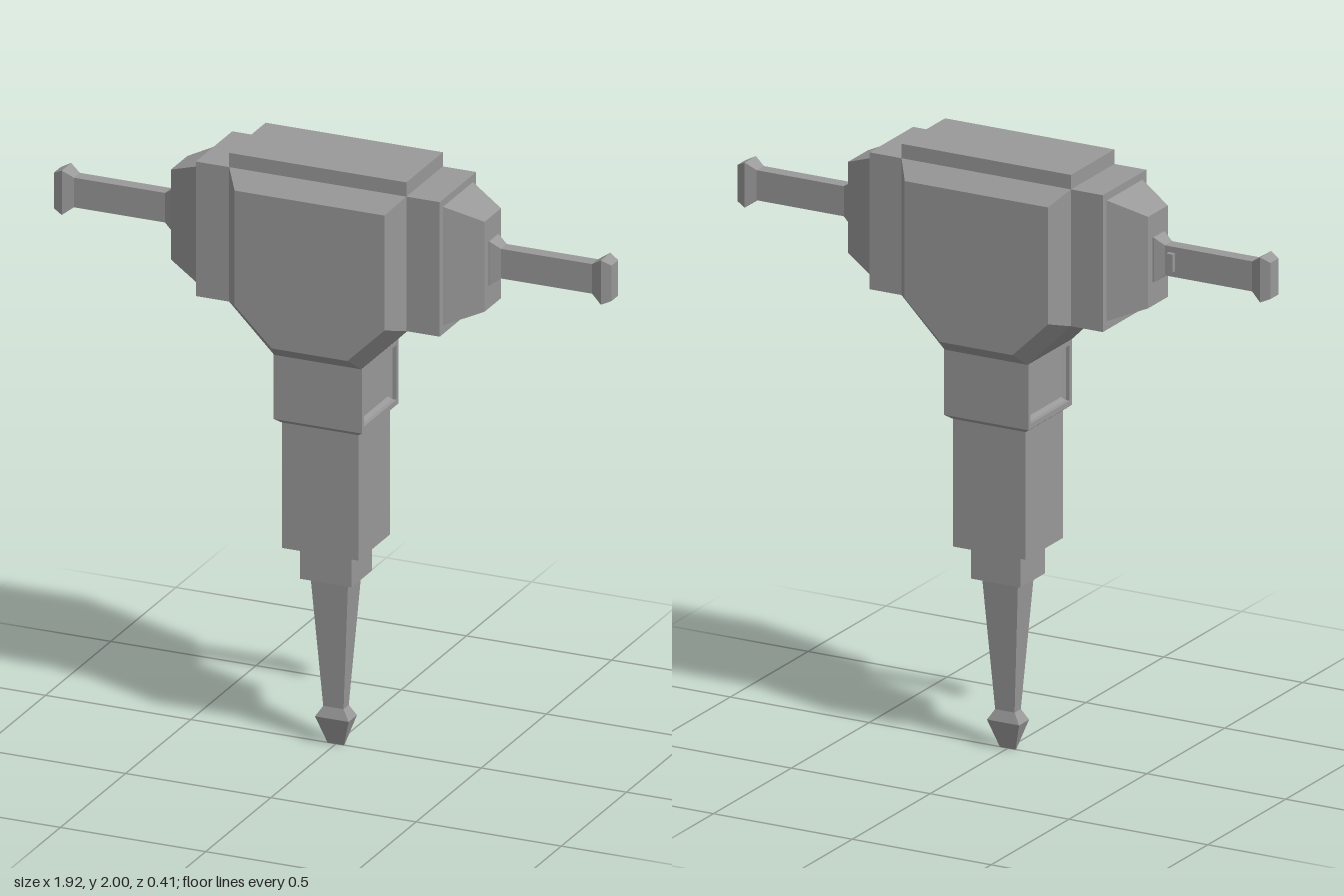
import * as THREE from 'three';

const material = new THREE.MeshStandardMaterial({ color: 0x999999, flatShading: true });

// Skin a row of convex rings (counter-clockwise seen from the far end) and cap both ends
function loft(rings) {
  const pos = [];
  const tri = (a, b, c) => pos.push(...a, ...b, ...c);
  const n = rings[0].length;
  for (let r = 0; r + 1 < rings.length; r++) {
    const a = rings[r], b = rings[r + 1];
    for (let i = 0; i < n; i++) {
      const j = (i + 1) % n;
      tri(a[i], a[j], b[j]);
      tri(a[i], b[j], b[i]);
    }
  }
  const first = rings[0], last = rings[rings.length - 1];
  for (let i = 1; i + 1 < n; i++) {
    tri(first[0], first[i + 1], first[i]);
    tri(last[0], last[i], last[i + 1]);
  }
  const g = new THREE.BufferGeometry();
  g.setAttribute('position', new THREE.Float32BufferAttribute(pos, 3));
  g.computeVertexNormals();
  return g;
}

// Rectangular sections along y: [y, half width x, half depth z]
const alongY = (sections) => loft(sections.map(([y, x, z]) =>
  [[-x, y, -z], [-x, y, z], [x, y, z], [x, y, -z]]));

// Rectangular sections along x: [x, bottom y, top y, half depth z]
const alongX = (sections) => loft(sections.map(([x, y0, y1, z]) =>
  [[x, y0, -z], [x, y1, -z], [x, y1, z], [x, y0, z]]));

function add(parent, name, geometry) {
  const mesh = new THREE.Mesh(geometry, material);
  mesh.name = name;
  parent.add(mesh);
  return mesh;
}

function box(parent, name, w, h, d, x, y, z) {
  add(parent, name, new THREE.BoxGeometry(w, h, d)).position.set(x, y, z);
}

// Six-sided housing outline at depth z
const housingRing = (z, x, top, shoulder, footX, foot) => [
  [-footX, foot, z], [footX, foot, z], [x, shoulder, z],
  [x, top, z], [-x, top, z], [-x, shoulder, z],
];

export function createModel() {
  const model = new THREE.Group();
  model.name = 'jackhammer';

  // Bevelled motor housing with a flat lid
  const outer = [0.305, 1.952, 1.497, 0.15, 1.342];
  const inner = [0.258, 1.903, 1.514, 0.13, 1.39];
  add(model, 'housing', loft([
    housingRing(-0.203, ...inner), housingRing(-0.14, ...outer),
    housingRing(0.14, ...outer), housingRing(0.203, ...inner),
  ]));
  box(model, 'lid', 0.61, 0.1, 0.28, 0, 1.95, 0);

  // Side blocks, tapered mounts and handles, the same on both sides
  for (const side of ['left', 'right']) {
    const arm = new THREE.Group();
    arm.name = side + 'Arm';
    if (side === 'right') arm.rotation.y = Math.PI;
    box(arm, 'sideBlock', 0.125, 0.455, 0.28, 0.3575, 1.7245, 0);
    add(arm, 'handleMount', alongX([
      [0.4, 1.526, 1.927, 0.115], [0.42, 1.526, 1.927, 0.115], [0.54, 1.573, 1.877, 0.063],
    ]));
    add(arm, 'handle', alongX([
      [0.53, 1.652, 1.8, 0.035], [0.545, 1.652, 1.8, 0.035], [0.578, 1.677, 1.777, 0.023],
      [0.892, 1.677, 1.777, 0.023], [0.928, 1.65, 1.8, 0.036], [0.96, 1.664, 1.784, 0.026],
    ]));
    model.add(arm);
  }

  // Small trigger behind the right handle
  box(model, 'trigger', 0.022, 0.06, 0.022, -0.603, 1.727, -0.028);

  // Neck with a recessed panel on each side, and a bevelled lower lip
  const recess = [
    [0.128, 1.155, 1.316, 0.114], [0.138, 1.143, 1.328, 0.125],
    [0.152, 1.143, 1.328, 0.125], [0.152, 1.125, 1.343, 0.14],
  ];
  const mirrored = recess.map(([x, ...rest]) => [-x, ...rest]);
  add(model, 'neck', alongX([...mirrored, ...recess.reverse()]));
  add(model, 'neckLip', alongY([[1.11, 0.132, 0.122], [1.125, 0.152, 0.14]]));

  // Barrel and collar
  box(model, 'barrel', 0.262, 0.43, 0.242, 0, 0.9, 0);
  box(model, 'collar', 0.178, 0.125, 0.158, 0, 0.635, 0);

  // Tapered chisel with a flared, wedge-shaped tip
  add(model, 'chisel', alongY([
    [0, 0.028, 0.002], [0.095, 0.058, 0.032], [0.13, 0.035, 0.02], [0.58, 0.065, 0.052],
  ]));

  return model;
}
